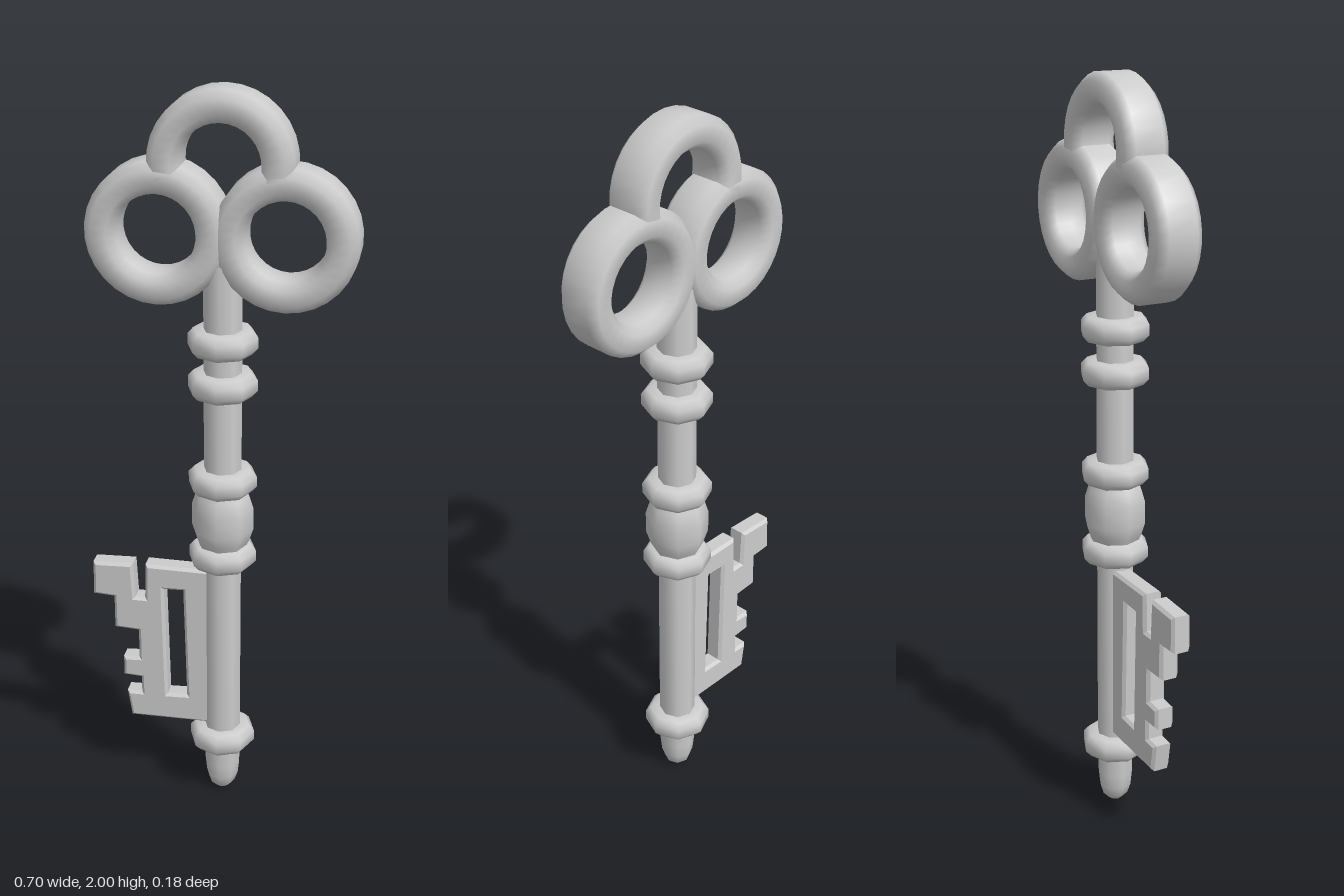
import * as THREE from 'three';

const material = new THREE.MeshStandardMaterial({ color: 0xcccccc });
const AXIS = 0.007; // x of the shaft
const vecs = (list) => list.map(([x, y]) => new THREE.Vector2(x, y));

export function createModel() {
  const key = new THREE.Group();
  key.name = 'key';

  const add = (name, geometry, x = 0, y = 0) => {
    const mesh = new THREE.Mesh(geometry, material);
    mesh.name = name;
    mesh.position.set(x, y, 0);
    key.add(mesh);
    return mesh;
  };
  const turned = (name, profile, y = 0) =>
    add(name, new THREE.LatheGeometry(vecs(profile), 8), AXIS, y);

  // Bow: rings with a chamfered section, seam hidden mid-way on the inner face
  const section = vecs([
    [0.1, 0], [0.1, -0.038], [0.12, -0.06], [0.16, -0.06], [0.18, -0.038],
    [0.18, 0.038], [0.16, 0.06], [0.12, 0.06], [0.1, 0.038], [0.1, 0],
  ]);
  const ring = (name, x, y, start = 0, sweep = 360) => {
    const rad = THREE.MathUtils.degToRad;
    const geometry = new THREE.LatheGeometry(section, Math.round(sweep / 12), rad(start), rad(sweep));
    add(name, geometry.rotateX(Math.PI / 2), x, y);
  };
  ring('bowRingRight', AXIS - 0.16, 1.642);
  ring('bowRingLeft', AXIS + 0.16, 1.642);
  ring('bowArchTop', AXIS, 1.82, 75, 210);

  // Shaft with a rounded tip
  turned('shaft', [
    [0, 0], [0.02, 0.005], [0.036, 0.022], [0.045, 0.05], [0.049, 0.09],
    [0.05, 0.2], [0.05, 1.57], [0, 1.57],
  ]);

  // Collars along the shaft
  for (const y of [0.183, 0.76, 0.98, 1.25, 1.365]) {
    turned('collar', [
      [0.045, -0.032], [0.076, -0.031], [0.091, -0.014],
      [0.091, 0.014], [0.076, 0.031], [0.045, 0.032],
    ], y);
  }

  // Swelling between the two middle collars
  turned('bulb', [
    [0.055, -0.1], [0.072, -0.065], [0.083, -0.03],
    [0.083, 0.03], [0.072, 0.065], [0.055, 0.1],
  ], 0.87);

  // Toothed bit with a long slot
  const bit = new THREE.Shape(vecs([
    [0, 0.225], [-0.25, 0.22], [-0.262, 0.3], [-0.22, 0.302], [-0.22, 0.35],
    [-0.27, 0.352], [-0.27, 0.412], [-0.225, 0.415], [-0.225, 0.502], [-0.292, 0.505],
    [-0.292, 0.602], [-0.35, 0.605], [-0.348, 0.705], [-0.237, 0.71], [-0.232, 0.608],
    [-0.205, 0.608], [-0.202, 0.712], [0, 0.712],
  ].reverse()));
  bit.holes.push(new THREE.Path(vecs([
    [-0.152, 0.64], [-0.098, 0.642], [-0.09, 0.308], [-0.145, 0.305],
  ])));
  const bevel = 0.008;
  const plate = new THREE.ExtrudeGeometry(bit, {
    depth: 0.054 - 2 * bevel, bevelThickness: bevel, bevelSize: bevel,
    bevelOffset: -bevel, bevelSegments: 1,
  });
  add('bit', plate.translate(0, 0, -0.027 + bevel));

  return key;
}
